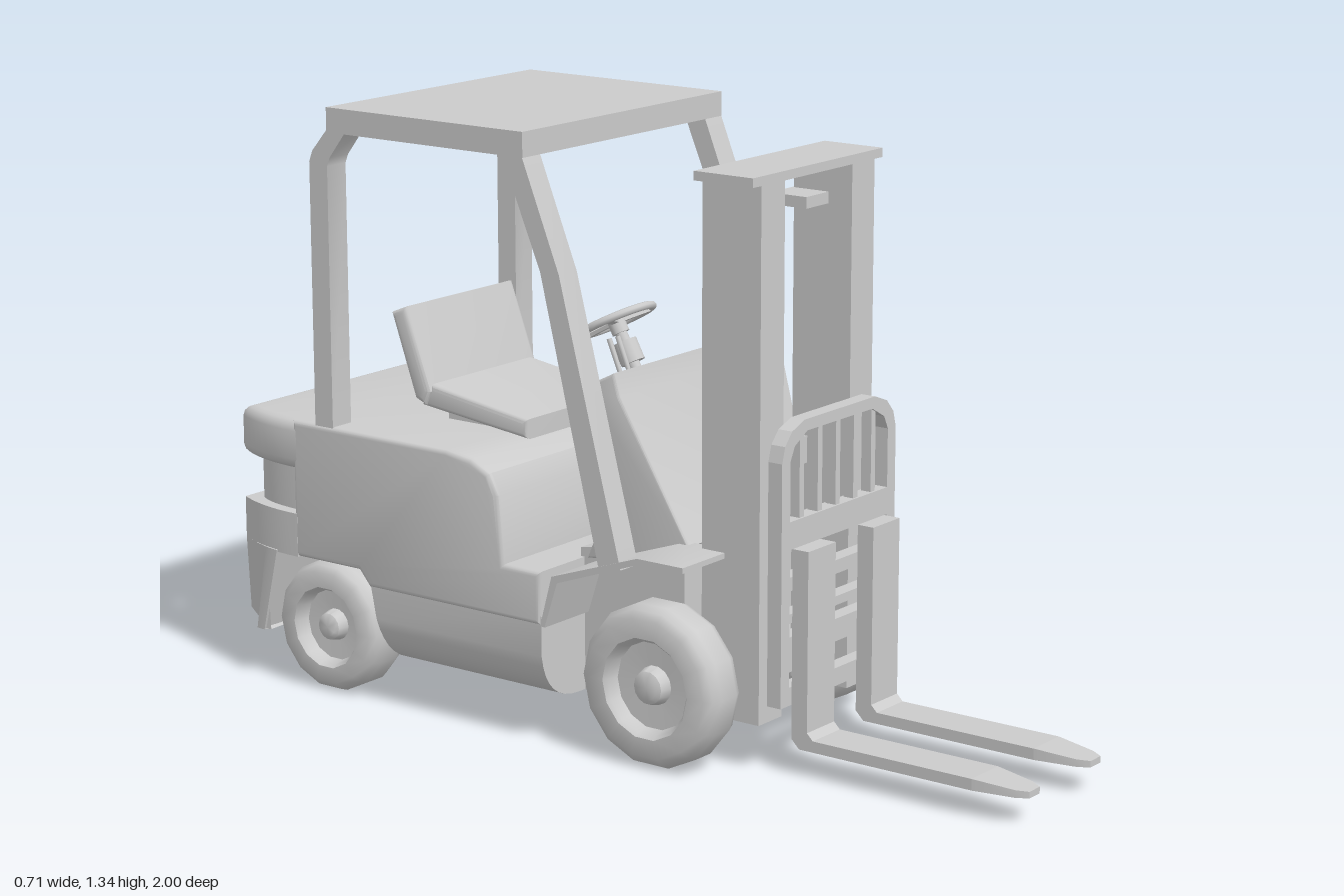
import * as THREE from 'three';
import { toCreasedNormals } from 'three/addons/utils/BufferGeometryUtils.js';

const mat = new THREE.MeshStandardMaterial({ color: 0xcccccc, side: THREE.DoubleSide });

export function createModel() {
  const model = new THREE.Group();
  const add = (name, geo, parent = model) => {
    const m = new THREE.Mesh(geo, mat);
    m.name = name;
    parent.add(m);
    return m;
  };
  // box given by its limits
  const box = (name, x0, x1, y0, y1, z0, z1) => add(name,
    new THREE.BoxGeometry(x1 - x0, y1 - y0, z1 - z0).translate((x0 + x1) / 2, (y0 + y1) / 2, (z0 + z1) / 2));
  const toShape = pts => new THREE.Shape(pts.map(p => new THREE.Vector2(...p)));
  const extrude = (shape, depth, bevel = 0) => new THREE.ExtrudeGeometry(shape, {
    depth: depth - 2 * bevel, bevelEnabled: bevel > 0, bevelThickness: bevel,
    bevelSize: bevel, bevelOffset: -bevel, bevelSegments: 3, curveSegments: 8,
  }).translate(0, 0, bevel);
  // side outline of [z, y] points, spanning x0 to x1
  const side = (name, pts, x0, x1, bevel = 0) => add(name, toCreasedNormals(
    extrude(toShape(pts), x1 - x0, bevel).rotateY(-Math.PI / 2).translate(x1, 0, 0), 0.6));
  const moveVertices = (geo, rule) => {
    const p = geo.attributes.position, v = new THREE.Vector3();
    for (let i = 0; i < p.count; i++) {
      rule(v.fromBufferAttribute(p, i));
      p.setXYZ(i, v.x, v.y, v.z);
    }
    return toCreasedNormals(geo, 0.6);
  };

  // hood and floor
  side('hood', [[-0.1, 0.28], [-0.59, 0.28], [-0.62, 0.315], [-0.81, 0.315], [-0.81, 0.63], [-0.36, 0.63], [-0.29, 0.62],
    [-0.24, 0.595], [-0.215, 0.55], [-0.2, 0.4], [-0.1, 0.4]], -0.355, 0.355, 0.012);

  // belly with rounded lower corners, slanted towards the rear wheels
  const belly = new THREE.Shape();
  belly.moveTo(-0.35, 0.3);
  belly.lineTo(-0.35, 0.21);
  belly.bezierCurveTo(-0.34, 0.14, -0.3, 0.1, -0.22, 0.1);
  belly.lineTo(0.22, 0.1);
  belly.bezierCurveTo(0.3, 0.1, 0.34, 0.14, 0.35, 0.21);
  belly.lineTo(0.35, 0.3);
  add('belly', moveVertices(extrude(belly, 0.49).translate(0, 0, -0.59), v => {
    if (v.z < -0.3) v.z += (0.3 - v.y) * 0.2;
  }));

  // counterweight in layers, rounded at the rear corners
  const layer = (name, front, inset, y0, y1, bevel, rule = () => {}) => {
    const w = 0.355 - inset, r = 1 - inset, s = new THREE.Shape();
    s.moveTo(-w, front);
    s.lineTo(-w, Math.max(front, 0.8));
    s.bezierCurveTo(-w, 0.89, -w + 0.02, 0.95, -w + 0.045, r);
    s.lineTo(w - 0.045, r);
    s.bezierCurveTo(w - 0.02, 0.95, w, 0.89, w, Math.max(front, 0.8));
    s.lineTo(w, front);
    const g = extrude(s, y1 - y0, bevel).rotateX(-Math.PI / 2).translate(0, y0, 0);
    add(name, moveVertices(g, rule));
  };
  layer('counterweightFoot', 0.865, 0, 0.12, 0.32, 0, v => {
    if (v.y < 0.2) {
      if (v.z > -0.9) v.z -= 0.055;
      else v.y += (-v.z - 0.9) * 0.3;
      v.x *= 0.97;
    }
  });
  layer('counterweightBody', 0.8, 0, 0.315, 0.415, 0);
  layer('counterweightGroove', 0.8, 0.03, 0.41, 0.52, 0);
  layer('counterweightTop', 0.78, 0, 0.515, 0.63, 0.025);

  // front frame and sloped cowl
  side('frontFrame', [[0.17, 0.12], [0.17, 0.47], [-0.11, 0.42], [-0.11, 0.1], [0.13, 0.1]], -0.2, 0.2);
  side('cowl', [[0.185, 0.47], [0, 0.77], [-0.015, 0.82], [-0.095, 0.78], [-0.095, 0.73], [-0.025, 0.55], [-0.09, 0.4], [0.1, 0.42]],
    -0.205, 0.205, 0.006);

  // seat
  box('seatBase', -0.13, 0.13, 0.62, 0.66, -0.54, -0.37);
  side('seatCushion', [[-0.275, 0.63], [-0.275, 0.675], [-0.55, 0.715], [-0.58, 0.665]], -0.18, 0.18, 0.012);
  side('seatBack', [[-0.545, 0.7], [-0.615, 0.885], [-0.657, 0.868], [-0.59, 0.68], [-0.56, 0.668]], -0.19, 0.19, 0.012);

  // steering wheel and column, built along local z
  const steering = new THREE.Group();
  steering.name = 'steering';
  steering.position.set(0, 0.88, -0.168);
  steering.rotation.x = -2.07;
  model.add(steering);
  add('steeringRim', new THREE.TorusGeometry(0.087, 0.009, 8, 28), steering);
  for (let i = 0; i < 3; i++) {
    add('steeringSpoke', new THREE.BoxGeometry(0.085, 0.016, 0.008)
      .translate(0.042, 0, -0.004).rotateZ(Math.PI / 2 + i * Math.PI * 2 / 3), steering);
  }
  const post = (name, r, z0, z1) => add(name,
    new THREE.CylinderGeometry(r, r, z1 - z0, 14).rotateX(Math.PI / 2).translate(0, 0, (z0 + z1) / 2), steering);
  post('steeringHub', 0.02, -0.03, 0.006);
  post('steeringColumn', 0.014, -0.22, 0);
  post('steeringSleeve', 0.028, -0.1, -0.05);
  for (const x of [-0.105, -0.075]) {
    const lever = add('lever', new THREE.CylinderGeometry(0.006, 0.005, 0.1, 8));
    lever.position.set(x, 0.82, -0.085);
    lever.rotation.x = -0.4;
  }

  // overhead guard
  box('roof', -0.35, 0.35, 1.29, 1.345, -0.69, -0.14);

  // mast
  box('mastTopPlate', -0.235, 0.235, 1.265, 1.285, 0.22, 0.37);
  for (const y of [0.14, 0.6]) box('mastCrossbar', -0.13, 0.13, y, y + 0.06, 0.23, 0.26);

  // carriage frame with openings between upright bars
  const arch = toShape([[-0.21, 0.16], [0.21, 0.16], [0.21, 0.69], [0.2, 0.725], [0.175, 0.753], [0.13, 0.77],
    [-0.13, 0.77], [-0.175, 0.753], [-0.2, 0.725], [-0.21, 0.69]]);
  const hole = pts => arch.holes.push(new THREE.Path(pts.map(p => new THREE.Vector2(...p))));
  hole([[-0.18, 0.56], [0.18, 0.56], [0.18, 0.69], [0.165, 0.72], [0.12, 0.745], [-0.12, 0.745], [-0.165, 0.72], [-0.18, 0.69]]);
  for (const [y0, y1] of [[0.2, 0.26], [0.31, 0.34], [0.36, 0.41], [0.44, 0.5]]) {
    hole([[-0.18, y0], [0.18, y0], [0.18, y1], [-0.18, y1]]);
  }
  add('carriageFrame', extrude(arch, 0.035).translate(0, 0, 0.395));
  for (let i = -2; i <= 2; i++) box('carriageBar', i * 0.066 - 0.008, i * 0.066 + 0.008, 0.555, 0.75, 0.4, 0.425);

  // wheel with recessed rim and raised hub, outer face towards +x
  const wheel = (name, s, r, w, y, z) => {
    const h = w / 2, pts = [[0, -h], [r * 0.85, -h], [r * 0.95, -h * 0.8], [r, -h * 0.45], [r, h * 0.45], [r * 0.95, h * 0.8],
      [r * 0.85, h], [r * 0.62, h], [r * 0.58, h * 0.85], [r * 0.54, h * 0.4], [r * 0.24, h * 0.35], [r * 0.2, h * 0.8], [r * 0.14, h * 0.9], [0, h * 0.9]];
    const g = new THREE.LatheGeometry(pts.map(p => new THREE.Vector2(...p)), 14).rotateZ(-Math.PI / 2);
    const m = add(name, toCreasedNormals(g, 0.75));
    m.position.set(s * 0.278, y, z);
    if (s < 0) m.rotation.y = Math.PI;
  };

  // parts found on both sides
  for (const s of [1, -1]) {
    const span = (a, b) => (s > 0 ? [a, b] : [-b, -a]);
    wheel('frontWheel', s, 0.181, 0.115, 0.185, 0.166);
    wheel('rearWheel', s, 0.152, 0.115, 0.155, -0.74);
    side('fender', [[0.28, 0.462], [0.28, 0.474], [0.16, 0.474], [-0.07, 0.395], [-0.102, 0.28], [-0.09, 0.278],
      [-0.055, 0.383], [0.16, 0.46]], ...span(0.18, 0.352));
    side('frontPost', [[0.115, 0.44], [-0.045, 1.053], [-0.145, 1.3], [-0.2, 1.3], [-0.095, 1.053], [0.06, 0.42]], ...span(0.29, 0.35));
    side('rearPost', [[-0.69, 0.61], [-0.69, 1.215], [-0.682, 1.235], [-0.635, 1.295], [-0.69, 1.295], [-0.733, 1.245],
      [-0.742, 1.22], [-0.742, 0.61]], ...span(0.29, 0.35));
    box('mastColumn', ...span(0.122, 0.205), 0.11, 1.27, 0.22, 0.37);
    box('mastBracket', ...span(0.04, 0.13), 1.175, 1.2, 0.215, 0.31);
    // fork: upright with blade, then a narrowing tip
    side('forkBlade', [[0.43, 0.5], [0.47, 0.5], [0.47, 0.105], [0.485, 0.09], [0.88, 0.09], [0.88, 0.065], [0.45, 0.065], [0.43, 0.085]],
      ...span(0.07, 0.17));
    const tip = extrude(toShape([[-0.05, -0.88], [0.05, -0.88], [0.034, -0.975], [0.02, -1], [-0.02, -1], [-0.034, -0.975]]), 0.025)
      .rotateX(-Math.PI / 2).translate(s * 0.12, 0.065, 0);
    add('forkTip', moveVertices(tip, v => { if (v.y > 0.08) v.y -= (Math.abs(v.z) - 0.88) * 0.09; }));
  }

  // axles
  for (const [y, z] of [[0.185, 0.166], [0.155, -0.74]]) {
    add('axle', new THREE.CylinderGeometry(0.04, 0.04, 0.5, 12).rotateZ(Math.PI / 2).translate(0, y, z));
  }
  return model;
}
